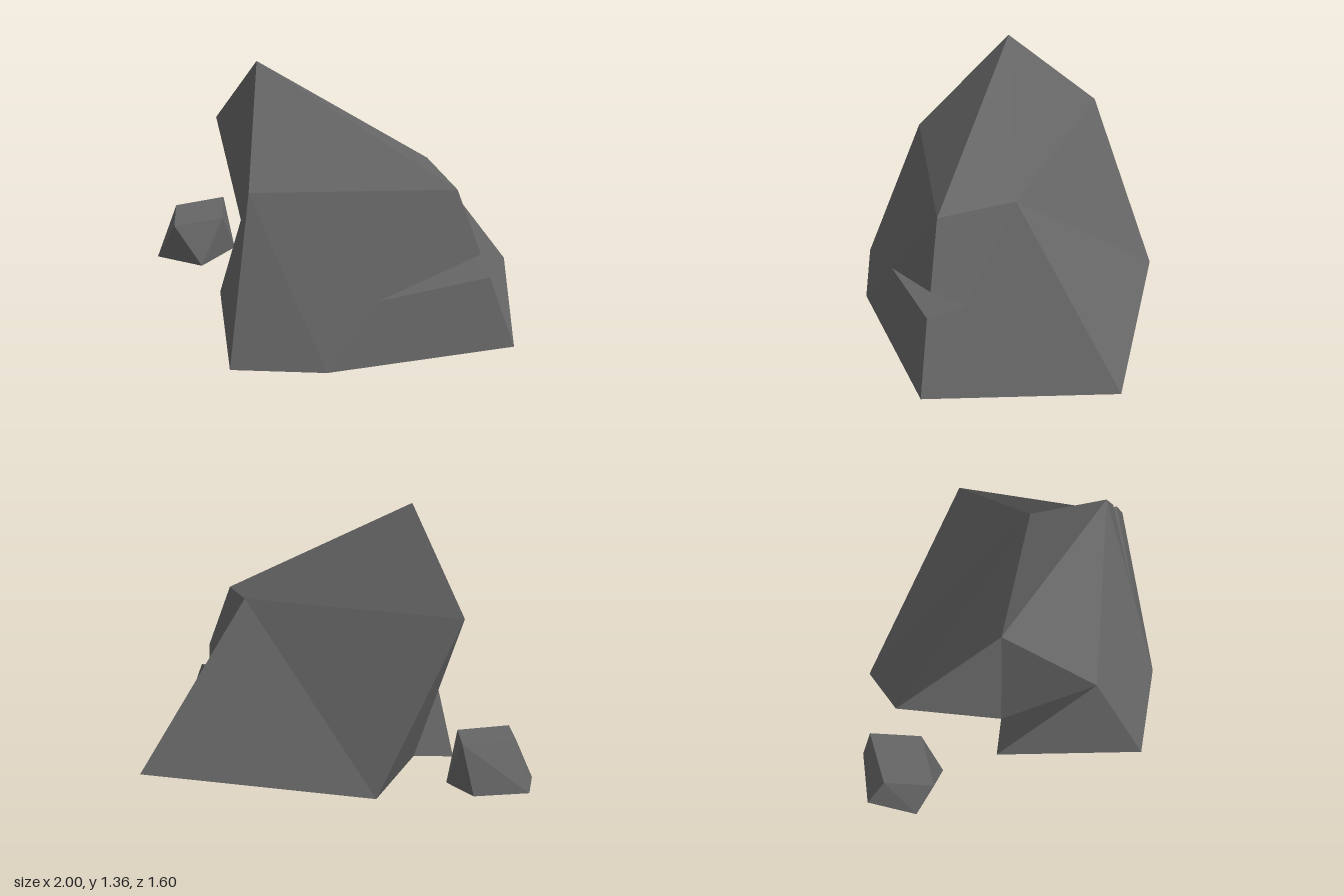
import * as THREE from 'three';
import { ConvexGeometry } from 'three/addons/geometries/ConvexGeometry.js';

// Named corners of the large boulder
const corners = {
  P: [-0.36, 1.36, 0], // peak
  Q: [0.53, 0.84, 0], R: [0.68, 0.84, 0.39], S: [-0.36, 0.84, 0.49], W: [-0.65, 0.84, -0.5], // shoulders
  A: [-0.44, 0, 0.8], B: [0.05, 0, 0.8], C: [1, 0, 0.49], K: [1, 0, -0.5], // base
  M: [-0.24, 0, -0.8], N: [-0.38, 0, -0.01], T: [-0.59, 0, 0],
  D: [0.3, 0.33, 0.64], E: [0.81, 0.5, 0.43], F: [0.86, 0.38, 0.45], G: [0.78, 0.395, 0.26], // crack
};

// Facets, each a fan of corners seen from outside
const facets = [
  'PSR', 'SAB', 'SBD', 'SDR', 'RDE', 'DBCF', // front
  'DGE', 'DFG', // crack
  'PRQ', 'QREG', 'GFC', 'KQGC', // right end
  'PQW', 'WQM', 'QKM', // back
  'WMN', 'PWN', 'PNS', 'NTS', 'STA', // left end
  'NMKCBAT', // underside
];

function facetGeometry(points, faces) {
  const positions = [];
  for (const face of faces) {
    for (let i = 1; i < face.length - 1; i++) {
      positions.push(...points[face[0]], ...points[face[i]], ...points[face[i + 1]]);
    }
  }
  const geometry = new THREE.BufferGeometry();
  geometry.setAttribute('position', new THREE.Float32BufferAttribute(positions, 3));
  geometry.computeVertexNormals();
  return geometry;
}

export function createModel() {
  const group = new THREE.Group();
  group.name = 'rocks';
  const stone = new THREE.MeshStandardMaterial({ color: 0x666666 });
  stone.name = 'grey stone';
  stone.flatShading = true;

  // Large cracked boulder
  const boulder = new THREE.Mesh(facetGeometry(corners, facets), stone);
  boulder.name = 'boulder';
  group.add(boulder);

  // Small stone beside it: a four-cornered top over a five-cornered base
  const top = [[-0.91, -0.56], [-0.65, -0.69], [-0.62, -0.41], [-0.88, -0.29]];
  const base = [[-0.98, -0.66], [-0.71, -0.74], [-0.57, -0.52], [-0.73, -0.28], [-1, -0.38]];
  const pebble = new THREE.Mesh(new ConvexGeometry([
    ...top.map(([x, z]) => new THREE.Vector3(x, 0.255, z)),
    ...base.map(([x, z]) => new THREE.Vector3(x, 0.01, z)),
  ]), stone);
  pebble.name = 'smallStone';
  group.add(pebble);

  return group;
}
